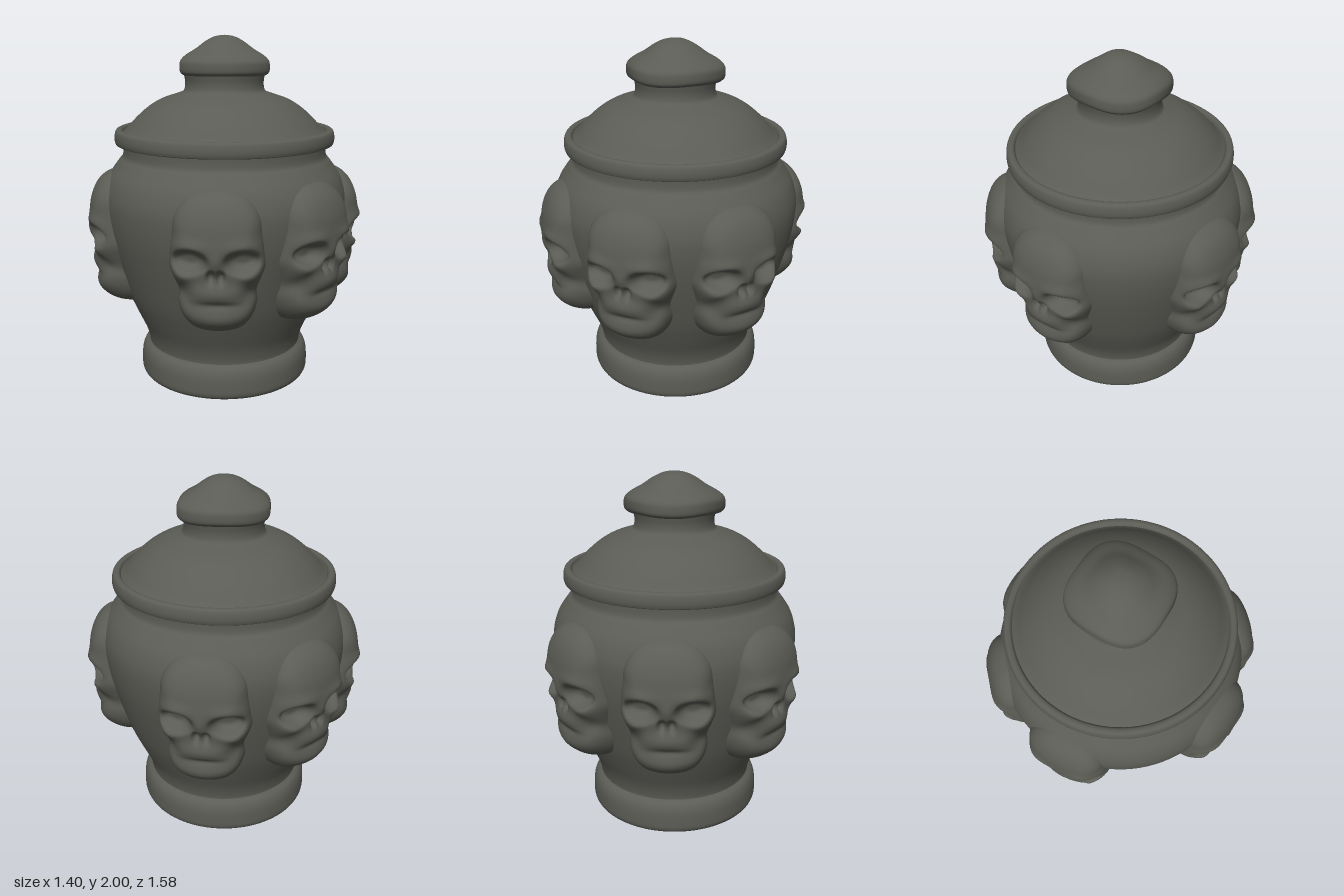
import * as THREE from 'three';

const clay = new THREE.MeshStandardMaterial({ color: 0x5b5c55 });
clay.name = 'dark clay';

const vec = ([x, y]) => new THREE.Vector2(x, y);

// Turned part: one or more smooth [radius, height] runs, joined at crisp corners
function turned(name, runs, squareness = 0) {
  const g = new THREE.Group();
  g.name = name;
  for (const run of runs) {
    const pts = new THREE.SplineCurve(run.map(vec)).getPoints(run.length * 5);
    pts.forEach(p => { p.x = Math.max(p.x, 0); });
    const geo = new THREE.LatheGeometry(pts, 96);
    if (squareness) {
      const pos = geo.attributes.position;
      for (let i = 0; i < pos.count; i++) {
        const x = pos.getX(i), z = pos.getZ(i);
        const k = 1 + squareness * (Math.cos(4 * Math.atan2(x, z)) - 1);
        pos.setX(i, x * k);
        pos.setZ(i, z * k);
      }
    }
    const mesh = new THREE.Mesh(geo, clay);
    mesh.name = name + 'Surface';
    g.add(mesh);
  }
  return g;
}

const bodyRun = [
  [0.452, 0.2], [0.455, 0.24], [0.475, 0.31], [0.525, 0.42], [0.572, 0.53], [0.615, 0.66],
  [0.655, 0.8], [0.683, 0.92], [0.698, 1.04], [0.694, 1.13], [0.665, 1.22], [0.61, 1.3],
  [0.582, 1.34], [0.58, 1.42],
];

// Piecewise-linear lookup of a value by height
function lookup(table, y) {
  if (y <= table[0][1]) return table[0][0];
  for (let i = 1; i < table.length; i++) {
    const [r0, y0] = table[i - 1], [r1, y1] = table[i];
    if (y <= y1) return r0 + (r1 - r0) * (y - y0) / (y1 - y0);
  }
  return table[table.length - 1][0];
}

// Half outline of a skull, chin to crown, and its forward depth by height
const half = [
  [0.13, 0.505], [0.185, 0.57], [0.208, 0.65], [0.205, 0.72], [0.228, 0.79], [0.25, 0.86],
  [0.243, 0.94], [0.232, 1.03], [0.22, 1.12], [0.17, 1.2], [0.09, 1.245],
];
const faceCurve = new THREE.SplineCurve([
  [0.695, 0.46], [0.72, 0.53], [0.745, 0.6], [0.745, 0.66], [0.757, 0.73], [0.757, 0.8],
  [0.768, 0.87], [0.785, 0.95], [0.782, 1.02], [0.77, 1.1], [0.738, 1.19], [0.69, 1.26],
].map(vec)).getPoints(60).map(p => [p.x, p.y]);

// Raised (+) and hollowed (-) features: [x, y, width, height, amount, edge sharpness]
const features = [
  [0.137, 0.905, 0.084, 0.056, -0.075, 2.2],  // eye socket
  [0.14, 0.985, 0.085, 0.035, 0.012, 1],      // brow
  [0.175, 0.825, 0.06, 0.035, 0.022, 1],      // cheekbone
  [0.19, 0.725, 0.06, 0.05, -0.045, 1],       // hollow below the cheek
  [0.235, 1.03, 0.05, 0.07, -0.02, 1],        // temple
  [0.024, 0.825, 0.022, 0.034, -0.034, 1.5],  // nose opening
  [0, 0.9, 0.035, 0.05, 0.012, 1],            // nose bridge
  [0, 0.735, 0.1, 0.045, 0.012, 1],           // upper jaw
  [0, 0.672, 0.12, 0.018, -0.012, 1],         // mouth line
  [0, 0.57, 0.11, 0.05, 0.012, 1],            // chin
];

function skullGeometry() {
  const sides = 112, rings = 44, cy = 0.87;
  const loop = [[0, 0.478], ...half, [0, 1.255], ...half.map(([x, y]) => [-x, y]).reverse()];
  const outline = new THREE.CatmullRomCurve3(
    loop.map(([x, y]) => new THREE.Vector3(x, y, 0)), true).getSpacedPoints(sides);
  const pos = [], index = [];
  const put = (t, o) => {
    const x = o.x * t, y = cy + (o.y - cy) * t;
    let face = lookup(faceCurve, y) - 0.9 * x * x;
    for (const [fx, fy, w, h, amount, sharp] of features) {
      const q = ((Math.abs(x) - fx) / w) ** 2 + ((y - fy) / h) ** 2;
      face += amount * Math.exp(-(q ** sharp));
    }
    const r = lookup(bodyRun, y);
    const wall = Math.sqrt(r * r - x * x) - 0.025;
    const blend = Math.sqrt(Math.max(0, 1 - t ** 9));
    pos.push(x, y, wall + (face - wall) * blend);
  };
  put(0, outline[0]);
  for (let j = 1; j <= rings; j++) {
    const s = j / rings;
    const t = s * (1.35 - 0.35 * s); // tighter rings near the rim
    for (let i = 0; i < sides; i++) put(t, outline[i]);
  }
  const at = (j, i) => 1 + (j - 1) * sides + (i % sides);
  for (let i = 0; i < sides; i++) {
    index.push(0, at(1, i), at(1, i + 1));
    for (let j = 1; j < rings; j++) {
      index.push(at(j, i), at(j + 1, i), at(j + 1, i + 1));
      index.push(at(j, i), at(j + 1, i + 1), at(j, i + 1));
    }
  }
  const geo = new THREE.BufferGeometry();
  geo.setAttribute('position', new THREE.Float32BufferAttribute(pos, 3));
  geo.setIndex(index);
  geo.computeVertexNormals();
  return geo;
}

export function createModel() {
  const urn = new THREE.Group();
  urn.name = 'urn';

  urn.add(turned('foot', [
    [[0, 0], [0.25, 0.002], [0.42, 0.008]],
    [[0.42, 0.008], [0.475, 0.02], [0.497, 0.045], [0.5, 0.09], [0.496, 0.15], [0.482, 0.19],
      [0.462, 0.21], [0.44, 0.225]],
  ]));
  urn.add(turned('body', [bodyRun]));

  // Lid: rolled rim, dome, and pointed knob on a short neck
  urn.add(turned('lidRim', [
    [[0.54, 1.397], [0.61, 1.398], [0.624, 1.41], [0.627, 1.44], [0.62, 1.472], [0.605, 1.483],
      [0.585, 1.48], [0.572, 1.462], [0.55, 1.455]],
  ]));
  urn.add(turned('lidDome', [
    [[0.59, 1.455], [0.555, 1.485], [0.5, 1.545], [0.43, 1.605], [0.36, 1.646], [0.28, 1.674],
      [0.235, 1.69], [0.2, 1.71]],
  ]));
  urn.add(turned('knobNeck', [
    [[0.25, 1.675], [0.228, 1.7], [0.222, 1.74], [0.23, 1.79]],
  ]));
  urn.add(turned('knob', [
    [[0.15, 1.782], [0.21, 1.78], [0.262, 1.784]],
    [[0.262, 1.784], [0.278, 1.8], [0.281, 1.83], [0.274, 1.862], [0.24, 1.892], [0.18, 1.925],
      [0.12, 1.965], [0.06, 1.992], [0, 2]],
  ], 0.05));

  // Six skulls in relief around the body
  const skull = skullGeometry();
  [0, 50, 130, 180, 230, 310].forEach(deg => {
    const mesh = new THREE.Mesh(skull, clay);
    mesh.name = 'skullRelief';
    mesh.rotation.y = THREE.MathUtils.degToRad(deg);
    urn.add(mesh);
  });
  return urn;
}
